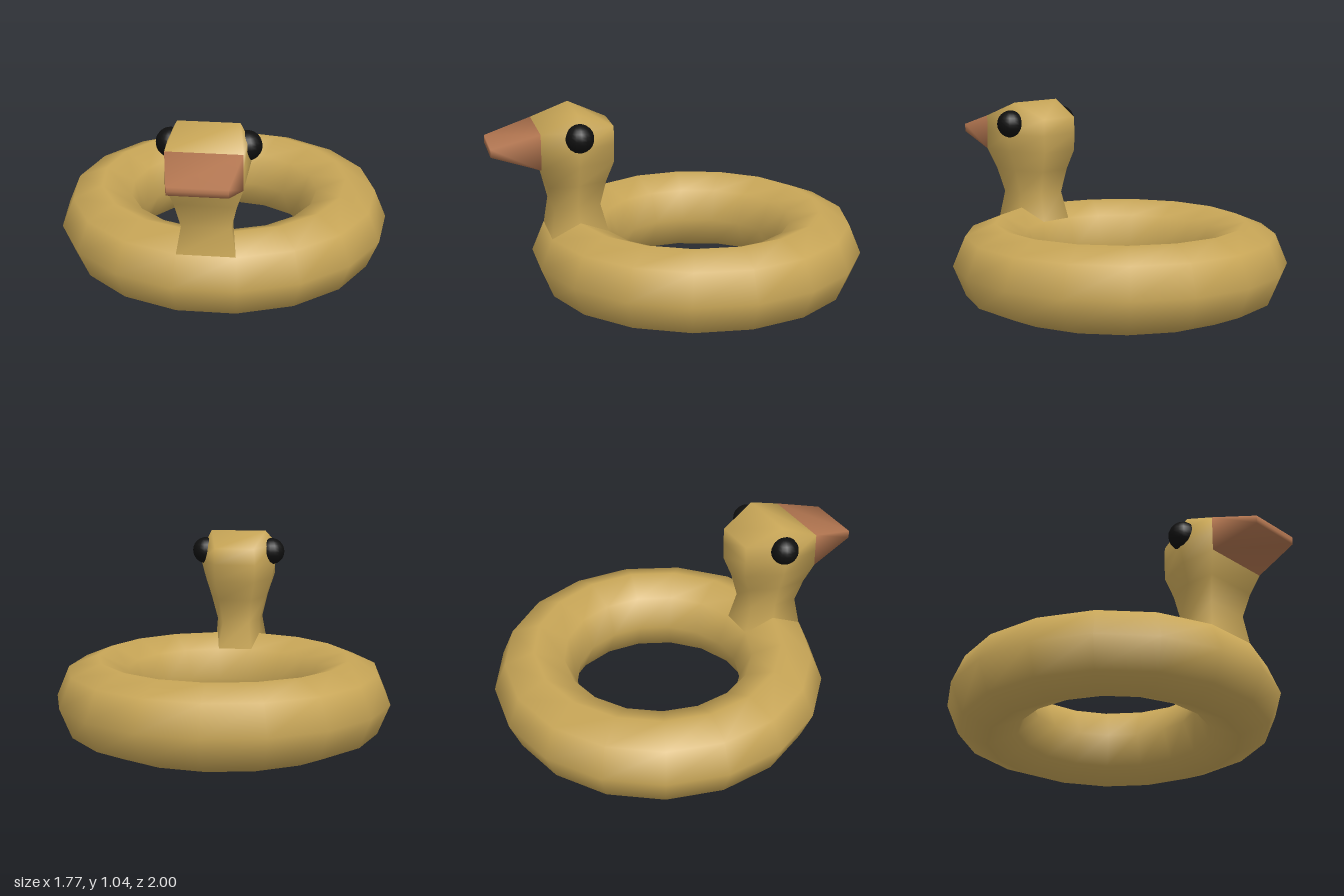
import * as THREE from 'three';
import { mergeVertices } from 'three/addons/utils/BufferGeometryUtils.js';

// Skin a list of equally long closed loops with smooth normals.
// Repeated corners in a loop are welded, so a loop can close to a ridge.
function loft(loops) {
  const n = loops[0].length;
  const index = [];
  for (let r = 0; r < loops.length - 1; r++) {
    for (let i = 0; i < n; i++) {
      const j = (i + 1) % n;
      const a = r * n + i, b = r * n + j;
      index.push(a, b, b + n, a, b + n, a + n);
    }
  }
  const geometry = new THREE.BufferGeometry();
  geometry.setAttribute('position', new THREE.Float32BufferAttribute(loops.flat(2), 3));
  geometry.setIndex(index);
  const welded = mergeVertices(geometry, 1e-4);
  welded.computeVertexNormals();
  return welded;
}

// Mirror three right-hand points [x, y, z] into a six-sided loop.
const mirrored = (half) => [...half, ...[...half].reverse().map(([x, y, z]) => [-x, y, z])];

export function createModel() {
  const yellow = new THREE.MeshStandardMaterial({ color: 0xc8a657 });
  const orange = new THREE.MeshStandardMaterial({ color: 0xb0744f });
  const black = new THREE.MeshStandardMaterial({ color: 0x0f0f0f });

  const model = new THREE.Group();
  model.name = 'duckSwimRing';
  const add = (name, geometry, material) => {
    const mesh = new THREE.Mesh(geometry, material);
    mesh.name = name;
    model.add(mesh);
    return mesh;
  };

  // Inflated ring, with one corner pointing straight back
  const ring = new THREE.TorusGeometry(0.666, 0.224, 8, 17);
  ring.rotateZ(Math.PI / 2).rotateX(-Math.PI / 2);
  add('ring', ring, yellow).position.set(0, 0.224, -0.11);

  // Neck and head: front, side and back corner of each level
  const levels = [
    [[0.15, 0.38, 0.70], [0.122, 0.44, 0.55], [0.093, 0.38, 0.39]],
    [[0.125, 0.53, 0.68], [0.12, 0.53, 0.555], [0.075, 0.53, 0.43]],
    [[0.155, 0.66, 0.71], [0.155, 0.66, 0.555], [0.09, 0.66, 0.40]],
    [[0.19, 0.77, 0.75], [0.19, 0.77, 0.555], [0.11, 0.77, 0.36]],
    [[0.19, 0.865, 0.75], [0.215, 0.865, 0.555], [0.115, 0.865, 0.36]],
    [[0.19, 0.957, 0.75], [0.198, 0.957, 0.555], [0.11, 0.957, 0.36]],
    // crown ridge
    Array(3).fill([0.155, 1.04, 0.555]),
  ];
  add('neckAndHead', loft(levels.map(mirrored)), yellow);

  // Bill: rectangular sections closing at a blunt tip
  const section = (x, low, high, z) => [[x, low, z], [x, high, z], [-x, high, z], [-x, low, z]];
  add('bill', loft([
    section(0.19, 0.77, 0.957, 0.75),
    section(0.147, 0.843, 0.885, 1.0),
    section(0.147, 0.864, 0.864, 1.0),
  ]), orange);

  // Eyes
  const eye = new THREE.SphereGeometry(0.075, 16, 12);
  for (const side of [1, -1]) {
    add(side > 0 ? 'leftEye' : 'rightEye', eye, black).position.set(side * 0.188, 0.924, 0.552);
  }

  return model;
}
